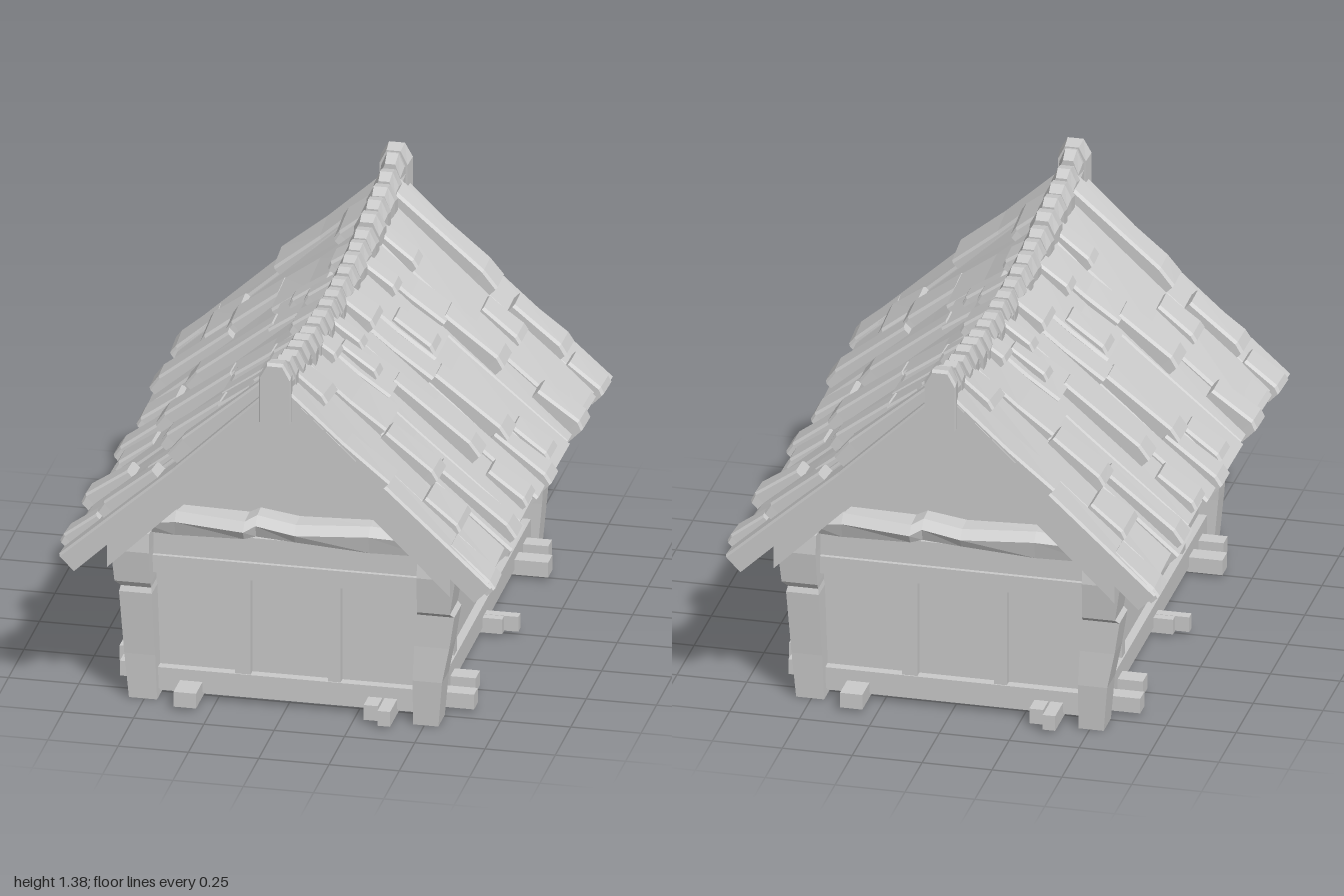
import * as THREE from 'three';

const material = new THREE.MeshStandardMaterial({ color: 0xcccccc, flatShading: true });
let seed = 7;
const rand = () => (seed = (seed * 16807) % 2147483647) / 2147483647;
const jit = (a) => (rand() - 0.5) * 2 * a;

// Closed solid through rings that all have the same number of points
function loft(name, rings) {
  const n = rings[0].length, last = rings.length - 1;
  const P = rings.flat(), tris = [];
  for (let r = 0; r < last; r++) for (let i = 0; i < n; i++) {
    const a = r * n + i, b = r * n + (i + 1) % n;
    tris.push([a, b, b + n], [a, b + n, a + n]);
  }
  for (let i = 1; i < n - 1; i++) {
    tris.push([0, i + 1, i], [last * n, last * n + i, last * n + i + 1]);
  }
  // Turn the faces outward when the rings wind the other way
  const V = P.map((p) => new THREE.Vector3(...p));
  const c = V.reduce((s, v) => s.add(v), new THREE.Vector3()).divideScalar(V.length);
  let volume = 0;
  for (const [a, b, d] of tris) {
    volume += V[a].clone().sub(c).dot(V[b].clone().sub(c).cross(V[d].clone().sub(c)));
  }
  const pos = [];
  for (const t of tris) for (const k of volume < 0 ? [t[0], t[2], t[1]] : t) pos.push(...P[k]);
  const g = new THREE.BufferGeometry();
  g.setAttribute('position', new THREE.Float32BufferAttribute(pos, 3));
  g.computeVertexNormals();
  const m = new THREE.Mesh(g, material);
  m.name = name;
  return m;
}

function box(name, x0, x1, y0, y1, z0, z1) {
  const m = new THREE.Mesh(new THREE.BoxGeometry(x1 - x0, y1 - y0, z1 - z0), material);
  m.position.set((x0 + x1) / 2, (y0 + y1) / 2, (z0 + z1) / 2);
  m.name = name;
  return m;
}

// Sagging roof slope: s runs from ridge (0) to eave (1), h is height above the slope
const sag = (z) => Math.max(0, 1 - (z / 0.97) ** 2);
const ridgeY = (z) => 1.3 - 0.1 * sag(z);
const eaveY = (z) => 0.585 - 0.015 * sag(z);
const eaveX = (z) => 0.755 - 0.025 * sag(z);
const slopeS = (y, z) => (ridgeY(z) - y) / (ridgeY(z) - eaveY(z));
const onRoof = (s, z, h) => [s * eaveX(z) + h * 0.7, ridgeY(z) + s * (eaveY(z) - ridgeY(z)) + h * 0.71, z];

// Slab lying on the slope; stations are [s, top height, half width factor]
function slab(name, z0, z1, bottom, stations) {
  const zc = (z0 + z1) / 2, w = (z1 - z0) / 2;
  return loft(name, stations.map(([s, h, f]) => {
    const a = zc - w * f, b = zc + w * f, e = Math.min(0.012, w * 0.2);
    return [onRoof(s, a, bottom), onRoof(s, a, h - 0.008), onRoof(s, a + e, h),
      onRoof(s, b - e, h), onRoof(s, b, h - 0.008), onRoof(s, b, bottom)];
  }));
}

// Post from levels [y, x0, x1, z0, z1]
const post = (name, levels) => loft(name, levels.map(([y, x0, x1, z0, z1]) =>
  [[x0, y, z0], [x1, y, z0], [x1, y, z1], [x0, y, z1]]));

function roofSlope() {
  const g = new THREE.Group();
  g.name = 'roofSlope';
  // Full length planks
  const cuts = [-0.97, -0.79, -0.53, -0.37, -0.13, 0, 0.13, 0.36, 0.6, 0.81, 0.97];
  for (let i = 0; i < cuts.length - 1; i++) {
    const h = i % 2 ? 0.008 : 0;
    g.add(slab('roofPlank', cuts[i], cuts[i + 1], -0.07,
      [[0, h, 1], [0.5, h + jit(0.006), 1], [1 + jit(0.02), h + 0.01, 1]]));
  }
  // Upper overlapping planks: z0, z1, lower edge y
  for (const [z0, z1, y] of [[0.81, 0.97, 0.93], [0.36, 0.61, 0.97], [0.13, 0.36, 0.99],
    [-0.12, 0.01, 0.92], [-0.35, -0.12, 0.94], [-0.52, -0.37, 0.97]]) {
    const s = slopeS(y, (z0 + z1) / 2);
    g.add(slab('upperPlank', z0, z1, -0.02, [[0.02, 0.012, 1], [s * 0.6, 0.018, 0.98], [s, 0.034, 1.02]]));
  }
  // Shingles: z centre, width, upper y, lower y, thickness
  const shingles = [
    [0.72, 0.18, 1.28, 1.14, 0.04], [0.39, 0.12, 1.24, 1.15, 0.05], [0.28, 0.09, 1.15, 1.04, 0.05],
    [0.18, 0.08, 1.22, 1.1, 0.05], [-0.05, 0.15, 1.21, 1.1, 0.05], [-0.2, 0.12, 1.07, 0.95, 0.05],
    [-0.33, 0.09, 1.22, 1.1, 0.05], [-0.58, 0.09, 1.23, 1.1, 0.04], [-0.84, 0.11, 1.28, 0.93, 0.055],
    [0.56, 0.15, 0.97, 0.81, 0.05], [0.2, 0.11, 1.0, 0.74, 0.06], [-0.07, 0.13, 0.92, 0.7, 0.06],
    [-0.46, 0.13, 0.98, 0.8, 0.06], [-0.7, 0.12, 0.92, 0.8, 0.035], [-0.84, 0.12, 0.87, 0.7, 0.05],
    [0.72, 0.21, 0.82, 0.71, 0.04], [0.5, 0.12, 0.82, 0.58, 0.06], [0.2, 0.14, 0.7, 0.585, 0.045],
    [-0.05, 0.12, 0.73, 0.56, 0.05], [-0.2, 0.13, 0.7, 0.59, 0.04], [-0.5, 0.12, 0.7, 0.565, 0.065],
    [-0.83, 0.12, 0.68, 0.57, 0.045], [0.89, 0.15, 0.72, 0.575, 0.025], [-0.66, 0.2, 0.68, 0.575, 0.02]];
  for (const [z, w, y0, y1, t] of shingles) {
    const s0 = slopeS(y0, z), s1 = slopeS(y1, z), lean = jit(0.006);
    g.add(slab('shingle', z - w / 2 + lean, z + w / 2 + lean, -0.02,
      [[s0, t * 0.65, 0.86], [s0 + (s1 - s0) * 0.85, t, 1], [s1, t * 0.8, 1.04]]));
  }
  return g;
}

// Half ridge: a core beam, uneven caps and the carved end block
function ridge() {
  const g = new THREE.Group();
  g.name = 'ridge';
  const top = (z) => ridgeY(z) + 0.062;
  const section = (z, w, y, drop) => [[-w, y - drop, z], [-w, y - 0.05, z], [-w * 0.5, y, z],
    [w * 0.5, y, z], [w, y - 0.05, z], [w, y - drop, z]];
  g.add(loft('ridgeBeam', [0, 0.25, 0.5, 0.75, 0.97].map((z) => section(z, 0.043, top(z) - 0.015, 0.14))));
  for (let i = 0; i < 10; i++) {
    const a = i * 0.096 + 0.006 + jit(0.006), b = a + 0.083 + jit(0.008);
    const w = 0.047 + jit(0.007), lift = jit(0.008);
    g.add(loft('ridgeCap', [section(a, w * 0.88, top(a) + lift, 0.1),
      section((a + b) / 2, w, top(b) + lift + 0.006, 0.1), section(b, w * 1.04, top(b) + lift, 0.1)]));
  }
  g.add(loft('ridgeEnd', [section(0.93, 0.05, 1.375, 0.215), section(0.985, 0.057, 1.385, 0.22),
    section(0.995, 0.054, 1.375, 0.215)]));
  return g;
}

function gableEnd() {
  const g = new THREE.Group();
  g.name = 'gableEnd';
  // Sloping boards below the roof edge, and rafters against the wall
  for (const side of [-1, 1]) {
    const board = (name, y, drop, x, z0, z1) => loft(name, [z0, z1].map((z) =>
      [[0, y, z], [0, y - drop, z], [side * x, y - drop - x * 0.98, z], [side * x, y - x * 0.98, z]]));
    g.add(board('bargeBoard', 1.225, 0.095, 0.61, 0.86, 0.93));
    g.add(board('wallRafter', 1.17, 0.075, 0.56, 0.74, 0.8));
  }
  // Rough hewn tie beam: x, bottom, top, front z
  g.add(loft('tieBeam', [[-0.5, 0.62, 0.7, 0.83], [-0.39, 0.62, 0.72, 0.84], [-0.14, 0.64, 0.715, 0.87],
    [-0.1, 0.645, 0.735, 0.85], [0.04, 0.64, 0.715, 0.86], [0.3, 0.615, 0.725, 0.84], [0.5, 0.615, 0.715, 0.83]]
    .map(([x, y0, y1, z]) => [[x, y0, 0.74], [x, y1, 0.74], [x, y1 - 0.005, z - 0.03],
      [x, y1 - 0.035, z], [x, y0 + 0.01, z - 0.015]])));
  // Timber framing of the wall
  g.add(box('upperRail', -0.5, 0.5, 0.475, 0.54, 0.74, 0.81));
  g.add(box('topPlate', -0.5, 0.5, 0.54, 0.63, 0.74, 0.795));
  g.add(box('sill', -0.5, 0.5, 0.03, 0.11, 0.74, 0.795));
  g.add(box('stud', -0.185, -0.13, 0.1, 0.48, 0.74, 0.79));
  g.add(box('stud', 0.145, 0.19, 0.1, 0.48, 0.74, 0.79));
  return g;
}

function sideWall() {
  const g = new THREE.Group();
  g.name = 'sideWall';
  g.add(box('upperRail', 0.47, 0.545, 0.475, 0.54, -0.76, 0.76));
  g.add(box('topPlate', 0.47, 0.53, 0.54, 0.64, -0.76, 0.76));
  g.add(box('sill', 0.47, 0.53, 0.03, 0.11, -0.76, 0.76));
  g.add(box('stud', 0.47, 0.525, 0.1, 0.48, 0.43, 0.475));
  g.add(box('stud', 0.47, 0.525, 0.1, 0.48, -0.45, -0.405));
  return g;
}

function cornerPosts() {
  const g = new THREE.Group();
  g.name = 'cornerPosts';
  g.add(post('rightPost', [[0, 0.46, 0.55, 0.74, 0.845], [0.17, 0.46, 0.565, 0.74, 0.855],
    [0.3, 0.465, 0.59, 0.735, 0.85], [0.42, 0.475, 0.608, 0.735, 0.85], [0.435, 0.478, 0.595, 0.735, 0.865],
    [0.57, 0.48, 0.617, 0.735, 0.88], [0.64, 0.48, 0.6, 0.735, 0.87]]));
  g.add(post('leftPost', [[0, -0.555, -0.455, 0.74, 0.825], [0.17, -0.57, -0.46, 0.74, 0.832],
    [0.41, -0.585, -0.468, 0.735, 0.85], [0.43, -0.58, -0.472, 0.735, 0.843],
    [0.45, -0.6, -0.472, 0.735, 0.855], [0.57, -0.61, -0.475, 0.735, 0.868], [0.64, -0.6, -0.475, 0.735, 0.86]]));
  return g;
}

// Floor joist ends sticking out below the walls
function joists() {
  const g = new THREE.Group();
  g.name = 'joists';
  for (const [x, w, out] of [[-0.34, 0.08, 0.9], [0.315, 0.05, 0.87], [0.37, 0.045, 0.91]]) {
    g.add(box('frontJoist', x - w / 2, x + w / 2, 0.012, 0.068, 0.6, out));
  }
  for (const [z, w, out] of [[0.67, 0.06, 0.645], [0.525, 0.07, 0.62], [0.025, 0.03, 0.6],
    [-0.01, 0.035, 0.65], [-0.51, 0.07, 0.65], [-0.645, 0.06, 0.62]]) {
    g.add(box('sideJoist', 0.4, out, 0.012, 0.068, z - w / 2, z + w / 2));
  }
  return g;
}

export function createModel() {
  const model = new THREE.Group();
  model.name = 'timberHouse';

  // Walls with pointed gables, and the floor
  const outline = new THREE.Shape([[-0.5, 0.02], [0.5, 0.02], [0.5, 0.66], [0, 1.12], [-0.5, 0.66]]
    .map(([x, y]) => new THREE.Vector2(x, y)));
  const walls = new THREE.Mesh(new THREE.ExtrudeGeometry(outline, { depth: 1.52, bevelEnabled: false }), material);
  walls.position.z = -0.76;
  walls.name = 'walls';
  model.add(walls, box('floor', -0.52, 0.52, 0.018, 0.03, -0.78, 0.78));

  // One half of the house, repeated by a half turn
  const half = new THREE.Group();
  half.name = 'frontHalf';
  half.add(roofSlope(), ridge(), gableEnd(), sideWall(), cornerPosts(), joists());
  const other = half.clone();
  other.name = 'backHalf';
  other.rotation.y = Math.PI;
  model.add(half, other);
  return model;
}
